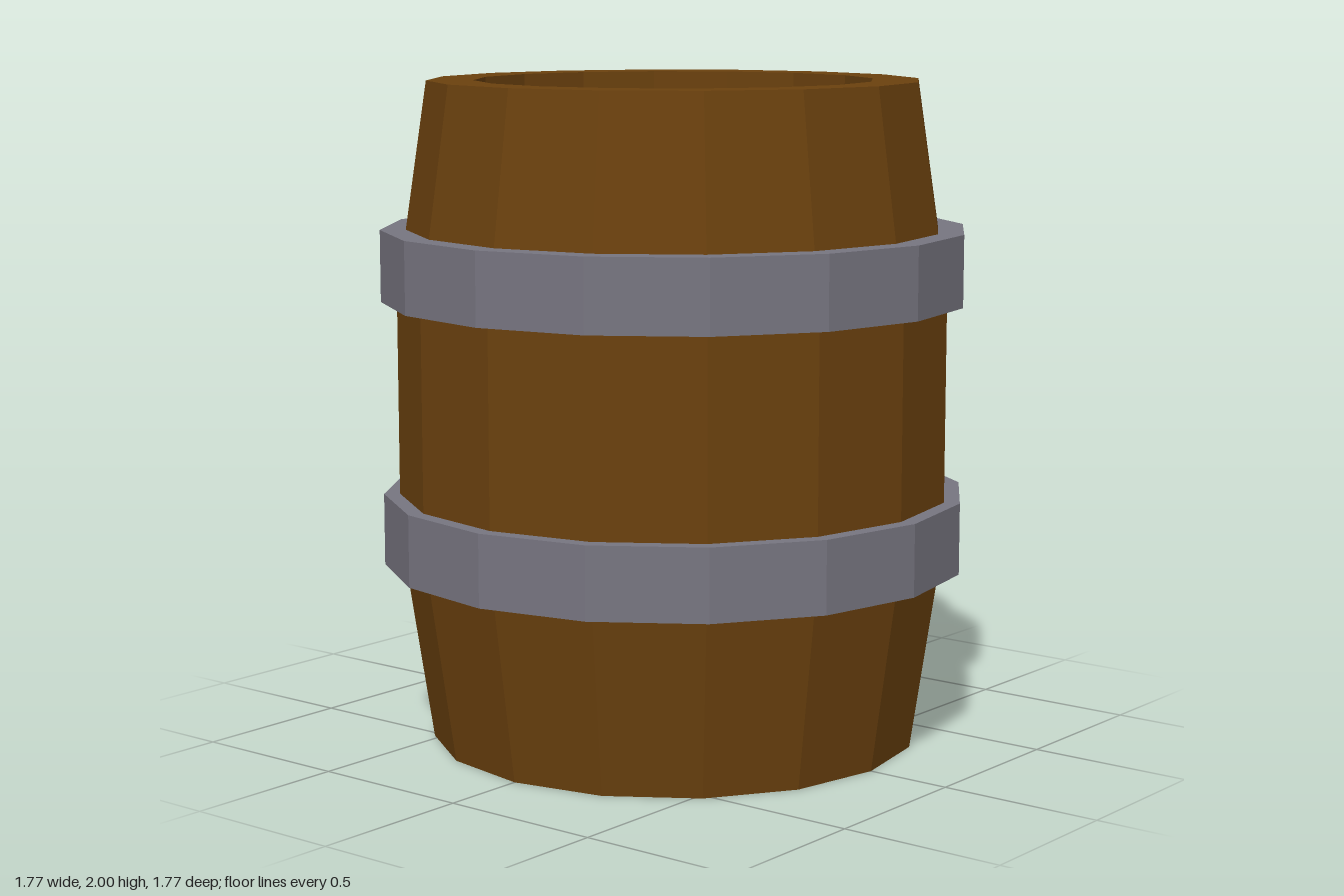
import * as THREE from 'three';

const SIDES = 16;

// Faceted ring or body turned from [radius, height] points
function turned(name, profile, color) {
  const points = profile.map(([r, y]) => new THREE.Vector2(r, y));
  const material = new THREE.MeshStandardMaterial({ color, flatShading: true });
  const mesh = new THREE.Mesh(new THREE.LatheGeometry(points, SIDES), material);
  mesh.name = name;
  return mesh;
}

export function createModel() {
  const group = new THREE.Group();
  group.name = 'barrel';

  // Wooden body: recessed heads, wide rims, bulging sides
  const lower = [[0, 0.08], [0.6, 0.08], [0.6, 0], [0.74, 0], [0.835, 0.64]];
  const upper = lower.map(([r, y]) => [r, 2 - y]).reverse();
  group.add(turned('body', [...lower, ...upper], 0x6b410e));

  // Two metal hoops
  const inner = 0.8, outer = 0.883, half = 0.108;
  for (const [name, y] of [['lowerHoop', 0.65], ['upperHoop', 1.45]]) {
    group.add(turned(name, [
      [inner, y - half], [outer, y - half], [outer, y + half],
      [inner, y + half], [inner, y - half],
    ], 0x777580));
  }
  return group;
}
